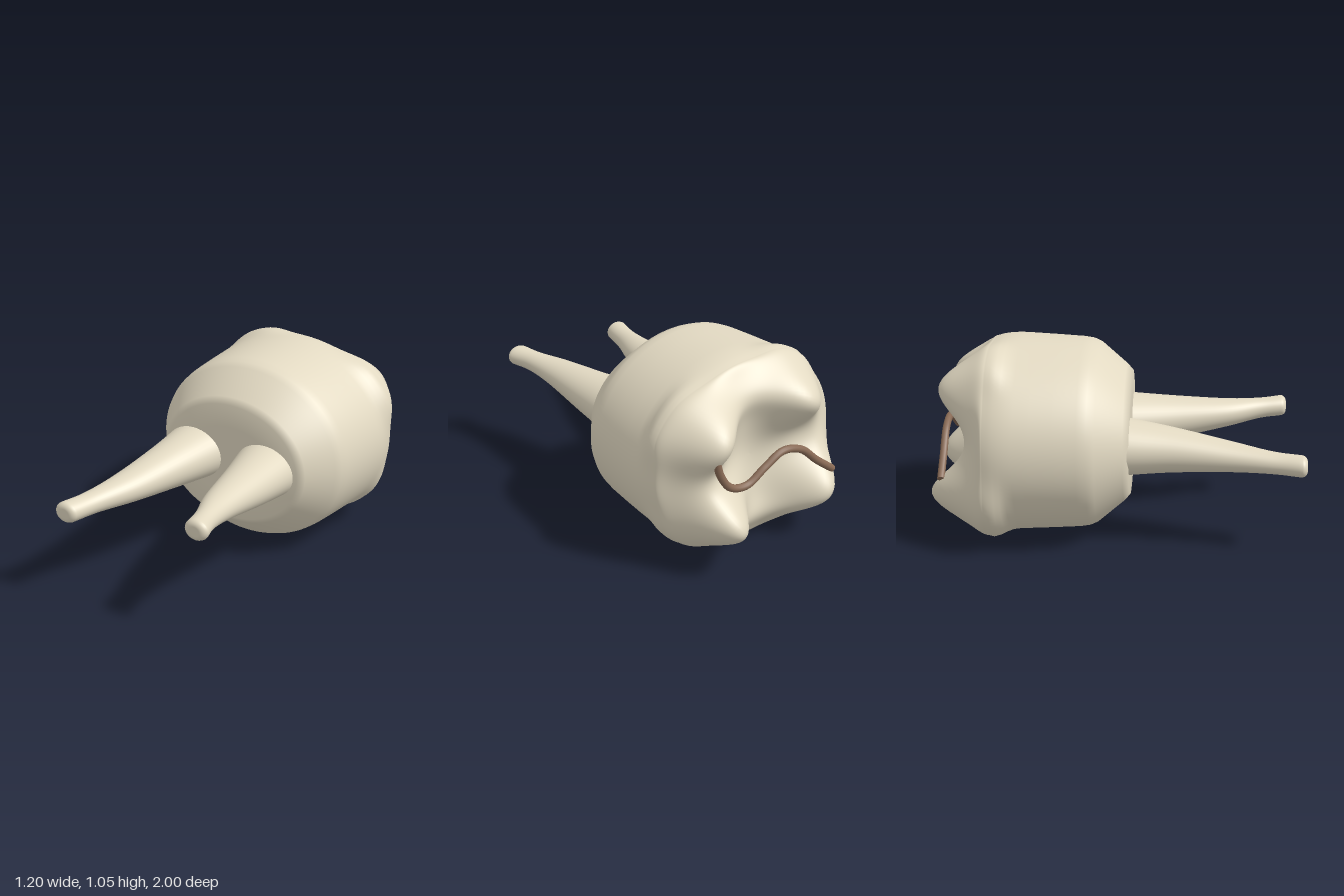
import * as THREE from 'three';

const ivory = new THREE.MeshStandardMaterial({ color: 0xe2d9c2 });
ivory.name = 'ivory';
const brown = new THREE.MeshStandardMaterial({ color: 0x886a55 });
brown.name = 'brown';

const CY = 0.527, SIDES = 120;

// Closed rings of points, ordered from front (+z) to back, joined into a smooth skin
function loft(rings) {
  const n = rings[0].length, pos = [], idx = [];
  rings.forEach((ring) => ring.forEach((p) => pos.push(...p)));
  for (let i = 0; i < rings.length - 1; i++) {
    for (let j = 0; j < n; j++) {
      const k = (j + 1) % n, a = i * n, c = a + n;
      idx.push(a + j, c + j, a + k, a + k, c + j, c + k);
    }
  }
  const g = new THREE.BufferGeometry();
  g.setAttribute('position', new THREE.Float32BufferAttribute(pos, 3));
  g.setIndex(idx);
  g.computeVertexNormals();
  return g;
}

function ringOf(fn, sides = SIDES) {
  return Array.from({ length: sides }, (_, j) => fn((j / sides) * Math.PI * 2));
}

// Cusps: tip x, y, height above the chewing surface; angle, size and half width of the outer bulge
const cusps = [
  { x: 0.36, y: 0.77, h: 0.21, angle: 0.63, bulge: 0.1, width: 0.38 },
  { x: -0.22, y: 0.82, h: 0.2, angle: 2.06, bulge: 0.08, width: 0.3 },
  { x: -0.34, y: 0.28, h: 0.24, angle: -2.4, bulge: 0.145, width: 0.46 },
  { x: 0.29, y: 0.31, h: 0.28, angle: -0.74, bulge: 0.065, width: 0.36 },
];

function bulgeAt(t) {
  let b = 0;
  for (const c of cusps) {
    const d = Math.atan2(Math.sin(t - c.angle), Math.cos(t - c.angle));
    b += c.bulge * Math.exp(-(Math.abs(d / c.width) ** 3));
  }
  return b;
}

// Depth of the chewing surface: shallow basin, low ridge and four cusps, rounded off at the rim
function chewingDepth(x, y, rho) {
  let h = 0.03 + 0.045 * Math.exp(-(((rho - 0.72) / 0.2) ** 2));
  for (const c of cusps) {
    h += c.h * Math.exp(-((x - c.x) ** 2 + (y - c.y) ** 2) / (2 * 0.14 ** 2));
  }
  const u = Math.max(0, (rho - 0.6) / 0.4);
  return 0.655 + h * Math.max(0, 1 - u ** 2.4) ** (1 / 2.2);
}

function crownGeometry() {
  // Wall profile: z, half width, half height
  const wall = [
    [0.08, 0, 0], [0.08, 0.28, 0.2], [0.08, 0.412, 0.328], [0.05, 0.447, 0.362],
    [-0.09, 0.55, 0.482], [-0.13, 0.568, 0.5], [-0.18, 0.576, 0.508], [-0.3, 0.587, 0.515],
    [-0.42, 0.596, 0.521], [-0.5, 0.6, 0.525], [-0.54, 0.6, 0.525], [-0.57, 0.598, 0.523],
    [-0.6, 0.594, 0.52], [-0.63, 0.587, 0.514], [-0.655, 0.577, 0.506],
  ];
  const rings = wall.map(([z, rx, ry]) => ringOf((t) => {
    const s = 1 + bulgeAt(t) * THREE.MathUtils.smoothstep(-z, 0.51, 0.65);
    return [rx * s * Math.cos(t), CY + ry * s * Math.sin(t), z];
  }));
  const steps = 44;
  for (let k = 1; k <= steps; k++) {
    const rho = Math.cos((k / steps) * Math.PI / 2);
    rings.push(ringOf((t) => {
      const s = rho * (1 + bulgeAt(t) * rho * rho);
      const x = 0.577 * s * Math.cos(t), y = CY + 0.506 * s * Math.sin(t);
      return [x, y, -chewingDepth(x, y, rho)];
    }));
  }
  return loft(rings);
}

// Root through sections [x, y, z, half width, half height], tip last, with a rounded end
function rootGeometry(sections) {
  const curve = (fn) => new THREE.CatmullRomCurve3(sections.map(fn), false, 'catmullrom');
  const path = curve((s) => new THREE.Vector3(s[0], s[1], s[2]));
  const size = curve((s) => new THREE.Vector3(s[3], s[4], 0));
  const rings = [];
  const add = (p, z, rx, ry) => rings.push(
    ringOf((t) => [p.x + rx * Math.cos(t), p.y + ry * Math.sin(t), z], 40));
  const tip = path.getPoint(1), end = size.getPoint(1);
  add(tip, tip.z + 0.03, 0, 0);
  for (let k = 0; k <= 6; k++) {
    const a = (k / 6) * Math.PI / 2, r = 0.45 + 0.55 * Math.sin(a);
    add(tip, tip.z + 0.03 * Math.cos(a), end.x * r, end.y * r);
  }
  for (let k = 31; k >= 0; k--) {
    const p = path.getPoint(k / 32), s = size.getPoint(k / 32);
    add(p, p.z, s.x, s.y);
  }
  return loft(rings);
}

export function createModel() {
  const group = new THREE.Group();
  const add = (name, geometry, material) => {
    const mesh = new THREE.Mesh(geometry, material);
    mesh.name = name;
    group.add(mesh);
  };

  add('crown', crownGeometry(), ivory);

  add('leftRoot', rootGeometry([
    [0.205, 0.525, 0.03, 0.188, 0.153], [0.237, 0.535, 0.3, 0.141, 0.118],
    [0.272, 0.555, 0.6, 0.094, 0.077], [0.316, 0.57, 0.78, 0.064, 0.057],
    [0.349, 0.577, 0.9, 0.067, 0.056],
  ]), ivory);
  add('rightRoot', rootGeometry([
    [-0.238, 0.53, 0.03, 0.188, 0.153], [-0.26, 0.522, 0.3, 0.141, 0.118],
    [-0.305, 0.507, 0.6, 0.1, 0.08], [-0.36, 0.497, 0.82, 0.069, 0.058],
    [-0.398, 0.494, 0.97, 0.067, 0.056],
  ]), ivory);

  // Wavy strand lying across the cusps
  const strand = new THREE.CatmullRomCurve3([
    [0.38, 0.72, -0.885], [0.345, 0.6, -0.885], [0.28, 0.515, -0.888], [0.18, 0.495, -0.892],
    [0.07, 0.56, -0.898], [-0.04, 0.615, -0.903], [-0.16, 0.585, -0.905], [-0.28, 0.48, -0.903],
    [-0.4, 0.385, -0.9],
  ].map((p) => new THREE.Vector3(...p)));
  add('strand', new THREE.TubeGeometry(strand, 80, 0.02, 12), brown);
  for (const [name, t, sign] of [['strandStartCap', 0, -1], ['strandEndCap', 1, 1]]) {
    const cap = new THREE.CircleGeometry(0.02, 12);
    const dir = strand.getTangent(t).multiplyScalar(sign);
    cap.applyQuaternion(new THREE.Quaternion().setFromUnitVectors(new THREE.Vector3(0, 0, 1), dir));
    const p = strand.getPoint(t);
    cap.translate(p.x, p.y, p.z);
    add(name, cap, brown);
  }
  return group;
}
